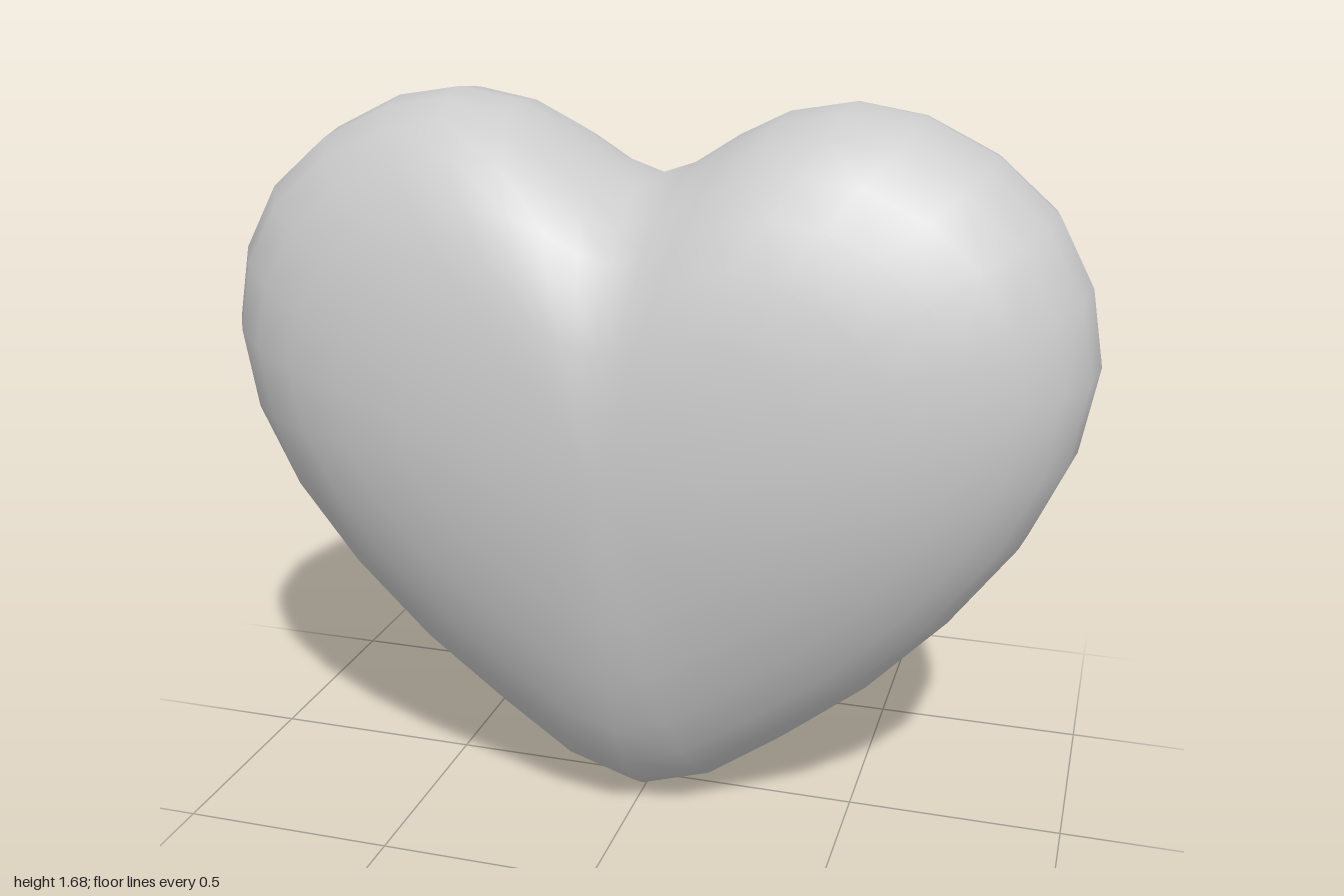
import * as THREE from 'three';

const CENTRE_Y = 0.92, DEPTH = 0.427, ROWS = 16;

// Right half of the rim, from the cleft down to the tip
const HALF = [
  [0, 1.5], [0.1, 1.535], [0.2, 1.6], [0.31, 1.655], [0.45, 1.68], [0.6, 1.655],
  [0.76, 1.575], [0.89, 1.46], [0.97, 1.31], [1, 1.14], [0.965, 0.945], [0.875, 0.745],
  [0.73, 0.545], [0.55, 0.35], [0.35, 0.185], [0.17, 0.055], [0, 0],
];

// Puffy heart: the rim shrinks towards the centre while its depth swells
function heartGeometry() {
  const mirrored = HALF.slice(1, -1).reverse().map(([x, y]) => [-x, y]);
  const rim = [...HALF, ...mirrored].reverse(); // counter-clockwise from the front
  const n = rim.length;
  const positions = [0, CENTRE_Y, DEPTH];
  const index = [];

  for (let i = 1; i < ROWS; i++) {
    const a = (i / ROWS) * Math.PI;
    const c = i === ROWS / 2 ? 0 : Math.cos(a);
    for (const [x, y] of rim) {
      const dy = y - CENTRE_Y;
      const side = Math.abs(x) / Math.hypot(x, dy);
      // rounder cross-section at top and tip, fuller at the sides
      const p = (dy > 0 ? 2.2 : 1.98) + (dy > 0 ? 0.3 : 0.45) * side ** 3;
      const s = Math.sin(a) ** (2 / p);
      // the cleft softens away from the rim
      const fill = dy > 0 ? 0.14 * Math.max(0, 1 - Math.abs(x) / 0.4) ** 1.5 * (1 - s) : 0;
      positions.push(x * s, CENTRE_Y + (dy + fill) * s,
        DEPTH * Math.sign(c) * Math.abs(c) ** (2 / p));
    }
  }
  positions.push(0, CENTRE_Y, -DEPTH);

  const last = positions.length / 3 - 1;
  const at = (row, j) => 1 + (row - 1) * n + (j % n);
  for (let j = 0; j < n; j++) {
    index.push(0, at(1, j), at(1, j + 1));
    for (let i = 1; i < ROWS - 1; i++) {
      index.push(at(i, j), at(i + 1, j), at(i + 1, j + 1));
      index.push(at(i, j), at(i + 1, j + 1), at(i, j + 1));
    }
    index.push(at(ROWS - 1, j), last, at(ROWS - 1, j + 1));
  }

  const geometry = new THREE.BufferGeometry();
  geometry.setAttribute('position', new THREE.Float32BufferAttribute(positions, 3));
  geometry.setIndex(index);
  geometry.computeVertexNormals();
  return geometry;
}

export function createModel() {
  const group = new THREE.Group();
  const heart = new THREE.Mesh(heartGeometry(), new THREE.MeshStandardMaterial({ color: 0xcccccc }));
  heart.name = 'heart';
  group.add(heart);
  return group;
}
